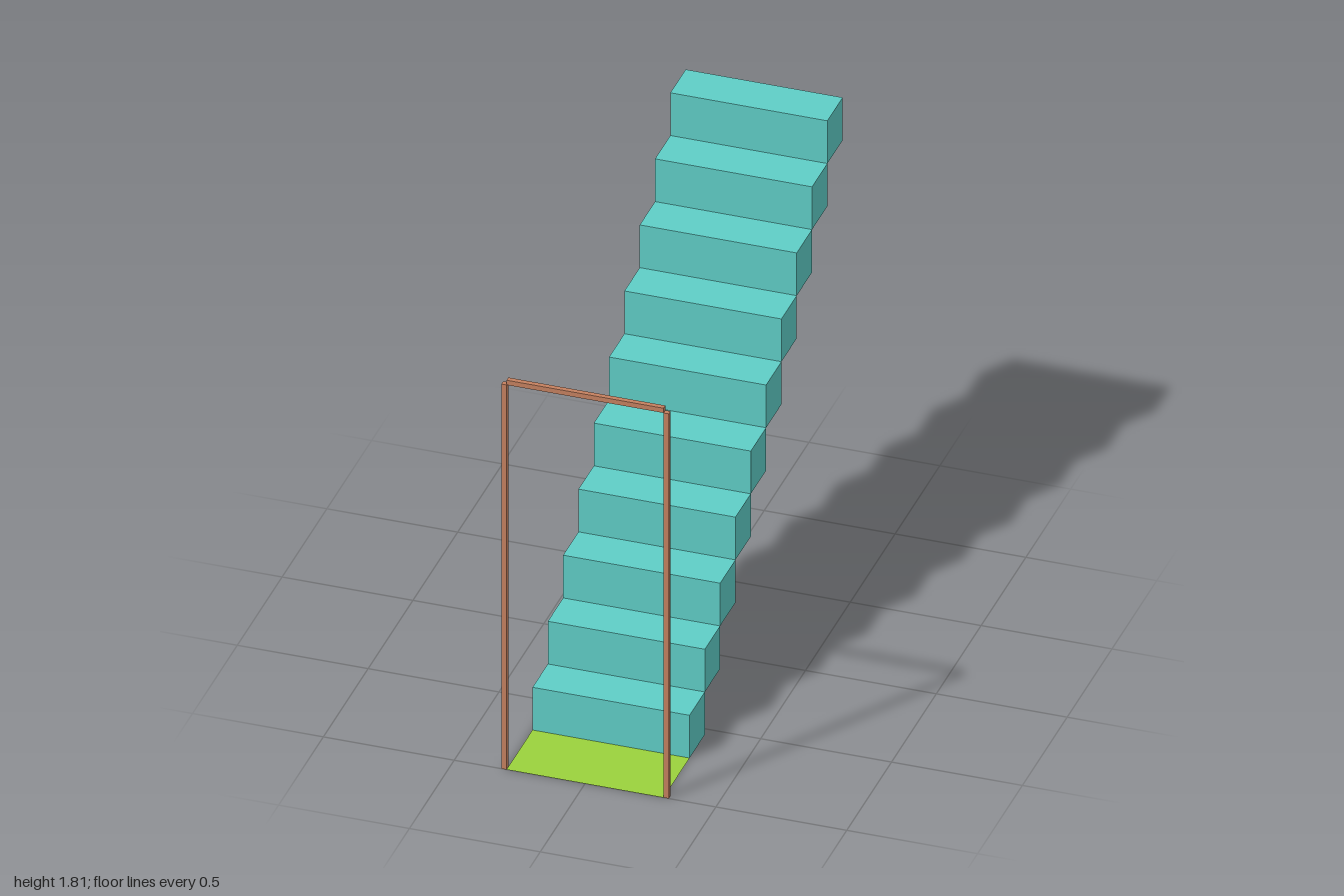
import * as THREE from 'three';

const STEPS = 10, WIDTH = 0.6, RISE = 0.181, RUN = 0.171;
const STAIR_FRONT = 0.71, BAR = 0.02, POST_HEIGHT = 1.63;

export function createModel() {
  const model = new THREE.Group();
  model.name = 'stairsWithDoorFrame';

  const stepMat = new THREE.MeshStandardMaterial({ color: 0x5fcdc6 });
  const frameMat = new THREE.MeshStandardMaterial({ color: 0xc4805f });
  const floorMat = new THREE.MeshStandardMaterial({ color: 0x9ad23c, side: THREE.DoubleSide });

  const box = (name, parent, mat, size, pos) => {
    const mesh = new THREE.Mesh(new THREE.BoxGeometry(...size), mat);
    mesh.name = name;
    mesh.position.set(...pos);
    parent.add(mesh);
  };

  // Staircase of separate blocks meeting edge to edge, climbing to the back
  const stairs = new THREE.Group();
  stairs.name = 'stairs';
  for (let i = 0; i < STEPS; i++) {
    box(`step${i + 1}`, stairs, stepMat, [WIDTH, RISE, RUN],
      [0, (i + 0.5) * RISE, STAIR_FRONT - (i + 0.5) * RUN]);
  }
  model.add(stairs);

  // Door frame: two posts outside the stair width, lintel between their tops
  const frame = new THREE.Group();
  frame.name = 'doorFrame';
  const frameZ = 1 - BAR / 2;
  for (const side of [1, -1]) {
    box(side > 0 ? 'leftPost' : 'rightPost', frame, frameMat, [BAR, POST_HEIGHT, BAR],
      [side * (WIDTH + BAR) / 2, POST_HEIGHT / 2, frameZ]);
  }
  box('lintel', frame, frameMat, [WIDTH, BAR, BAR], [0, POST_HEIGHT + BAR / 2, frameZ]);
  model.add(frame);

  // Thin landing between the frame and the first step
  const depth = 1 - STAIR_FRONT;
  const landing = new THREE.Mesh(new THREE.PlaneGeometry(WIDTH, depth).rotateX(-Math.PI / 2), floorMat);
  landing.name = 'landing';
  landing.position.set(0, 0, STAIR_FRONT + depth / 2);
  model.add(landing);

  return model;
}
